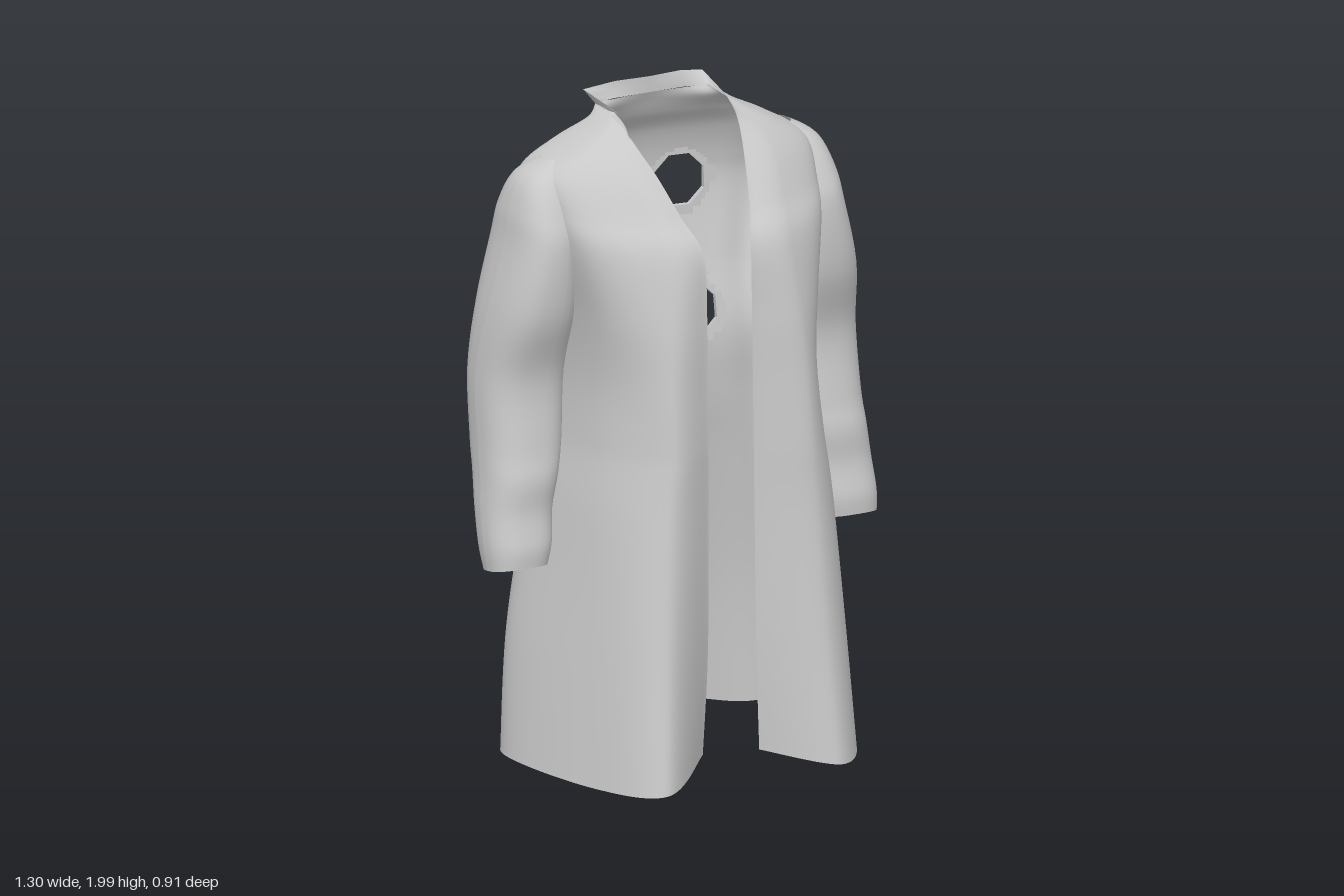
import * as THREE from 'three';

const cloth = new THREE.MeshStandardMaterial({ color: 0xc8c8c8, side: THREE.DoubleSide });
cloth.name = 'grey cloth';

// Smooth interpolation through rows of numbers, t from 0 to 1
function sample(rows, t) {
  const n = rows.length - 1;
  const f = Math.min(Math.max(t, 0), 1) * n;
  const i = Math.min(Math.floor(f), n - 1), s = f - i;
  const p0 = rows[Math.max(i - 1, 0)], p1 = rows[i], p2 = rows[i + 1], p3 = rows[Math.min(i + 2, n)];
  return p1.map((b, k) => {
    const m1 = (p2[k] - p0[k]) / 2, m2 = (p3[k] - b) / 2, d = p2[k] - b;
    return b + s * (m1 + s * (3 * d - 2 * m1 - m2 + s * (m1 + m2 - 2 * d)));
  });
}

// Grid surface from fn(u, v); cells whose centre fails keep(x, y, z) are left open
function surface(name, fn, nu, nv, keep = () => true) {
  const pos = [], index = [];
  for (let j = 0; j <= nv; j++)
    for (let i = 0; i <= nu; i++) pos.push(...fn(i / nu, j / nv));
  for (let j = 0; j < nv; j++)
    for (let i = 0; i < nu; i++) {
      const a = j * (nu + 1) + i, b = a + 1, c = a + nu + 1, d = c + 1;
      const mid = [0, 1, 2].map(k => (pos[a * 3 + k] + pos[d * 3 + k]) / 2);
      if (keep(...mid)) index.push(a, b, d, a, d, c);
    }
  const g = new THREE.BufferGeometry();
  g.setAttribute('position', new THREE.Float32BufferAttribute(pos, 3));
  g.setIndex(index);
  g.computeVertexNormals();
  const mesh = new THREE.Mesh(g, cloth);
  mesh.name = name;
  return mesh;
}

// Half sections: y, front edge x z, front bulge x z, side x z, back corner x z, back centre z
const bodyRows = [
  [0.017, 0.07, 0.29, 0.27, 0.43, 0.44, 0.20, 0.535, -0.22, -0.455],
  [0.4, 0.06, 0.29, 0.26, 0.38, 0.415, 0.18, 0.505, -0.22, -0.405],
  [0.8, 0.06, 0.28, 0.25, 0.335, 0.39, 0.14, 0.435, -0.21, -0.33],
  [1.0, 0.06, 0.275, 0.24, 0.32, 0.365, 0.12, 0.39, -0.21, -0.285],
  [1.2, 0.06, 0.27, 0.235, 0.30, 0.35, 0.10, 0.365, -0.20, -0.275],
  [1.4, 0.06, 0.265, 0.22, 0.28, 0.36, 0.11, 0.38, -0.25, -0.32],
  [1.6, 0.065, 0.25, 0.21, 0.235, 0.40, 0.07, 0.43, -0.29, -0.36],
  [1.7, 0.10, 0.18, 0.23, 0.16, 0.42, 0.01, 0.44, -0.28, -0.36],
  [1.8, 0.13, 0.10, 0.25, 0.08, 0.42, -0.05, 0.43, -0.24, -0.335],
  [1.87, 0.155, 0.03, 0.24, 0.01, 0.33, -0.07, 0.33, -0.22, -0.29],
  [1.92, 0.17, -0.03, 0.19, -0.05, 0.235, -0.09, 0.235, -0.20, -0.265],
  [1.95, 0.18, -0.10, 0.185, -0.12, 0.19, -0.15, 0.19, -0.23, -0.25],
];
const hemLift = [0.055, 0.015, 0.005, 0.02, -0.008, 0.012];
// extra outward x and forward z of the right side at the hem
const rightSkew = [[0, -0.035], [0.06, 0.03], [0.03, 0.05], [0.02, 0.09]];

function bodyPoint(u, v) {
  const r = sample(bodyRows, v), y = r[0];
  const low = Math.max(0, 1 - y / 0.3), skirt = Math.max(0, 1 - y);
  const half = [0, 1, 2, 3].map(k => [r[1 + 2 * k], y + hemLift[k] * low, r[2 + 2 * k]]);
  // the right front overlaps less and its skirt swings further forward
  const other = half.map(([x, h, z], k) => [
    -x - (k ? 0 : 0.03) - rightSkew[k][0] * skirt, h, z + rightSkew[k][1] * skirt]).reverse();
  // the back narrows towards its centre, more sharply at the hem
  const fall = 0.4 + 0.2 * Math.min(1, y / 1.4);
  const bx = r[7] * 0.66, by = y + hemLift[4] * low, bz = r[8] + (r[9] - r[8]) * fall;
  const centre = [0.07 * skirt, y + hemLift[5] * low, r[9]];
  return sample([...half, [bx, by, bz], centre, [-bx, by, bz], ...other], u);
}

// Sleeve sections: y, inner x, outer x, back z, front z
const sleeveRows = [
  [0.63, 0.46, 0.645, -0.14, 0.02],
  [0.7, 0.44, 0.65, -0.175, 0.02],
  [0.8, 0.425, 0.645, -0.21, 0.0],
  [0.9, 0.40, 0.635, -0.25, 0.0],
  [1.0, 0.375, 0.63, -0.28, -0.02],
  [1.2, 0.355, 0.625, -0.305, -0.04],
  [1.4, 0.345, 0.60, -0.31, 0.02],
  [1.6, 0.35, 0.55, -0.30, 0.03],
  [1.7, 0.35, 0.53, -0.28, 0.0],
  [1.79, 0.34, 0.49, -0.24, -0.05],
  [1.84, 0.32, 0.41, -0.19, -0.1],
];

function sleevePoint(side) {
  const round = c => Math.sign(c) * Math.abs(c) ** 0.82;
  return (u, v) => {
    const [y, x0, x1, z0, z1] = sample(sleeveRows, v);
    const a = (side > 0 ? u : 1 - u) * Math.PI * 2;
    const x = (x0 + x1) / 2 + round(Math.cos(a)) * (x1 - x0) / 2;
    const cuff = Math.max(0, 1 - (y - 0.63) / 0.1) * 0.015 * Math.sin(a);
    return [side * x, y - cuff, (z0 + z1) / 2 - round(Math.sin(a)) * (z1 - z0) / 2];
  };
}

// Back rings: x, y, z, tilt
const rings = [
  [-0.18, 1.63, -0.359, -0.02], [0.16, 1.63, -0.359, -0.02],
  [-0.18, 1.25, -0.284, -0.16], [0.16, 1.25, -0.284, -0.16],
];

function octagon(Type, r) {
  const s = new Type();
  for (let i = 0; i < 8; i++) {
    const a = (i + 0.5) * Math.PI / 4;
    s[i ? 'lineTo' : 'moveTo'](Math.cos(a) * r, Math.sin(a) * r);
  }
  s.closePath();
  return s;
}

export function createModel() {
  const coat = new THREE.Group();
  coat.name = 'coat';

  // Open-fronted body with back holes and armholes
  coat.add(surface('body', bodyPoint, 220, 110, (x, y, z) => {
    if (z < -0.1 && rings.some(([rx, ry]) => Math.hypot(x - rx, y - ry) < 0.098)) return false;
    return !(Math.abs(x) > 0.35 && Math.hypot((y - 1.6) / 0.13, (z + 0.13) / 0.11) < 1);
  }));

  // Sleeves, open at the cuff and where they join the body
  for (const side of [1, -1])
    coat.add(surface(side > 0 ? 'leftSleeve' : 'rightSleeve', sleevePoint(side), 32, 50,
      (x, y) => !(y > 1.46 && y < 1.75 && Math.abs(x) < 0.38)));

  // Standing collar with pointed corners
  const low = [[0.18, 1.95, -0.1], [0.19, 1.95, -0.23], [0.12, 1.95, -0.248], [0, 1.95, -0.25]];
  const high = [[0.183, 1.955, -0.12], [0.2, 1.98, -0.285], [0.11, 2.0, -0.255], [0, 2.0, -0.247]];
  const mirror = pts => [...pts, ...pts.slice(0, -1).reverse().map(([x, y, z]) => [-x, y, z])];
  const lowAll = mirror(low), highAll = mirror(high);
  coat.add(surface('collar', (u, v) => {
    const i = Math.round(u * 6);
    return lowAll[i].map((a, k) => a + (highAll[i][k] - a) * v);
  }, 6, 2));

  // Octagonal rings around the back holes
  const shape = octagon(THREE.Shape, 0.128);
  shape.holes.push(octagon(THREE.Path, 0.084));
  const ringGeo = new THREE.ExtrudeGeometry(shape, { depth: 0.018, bevelEnabled: false });
  ringGeo.translate(0, 0, -0.009);
  for (const [x, y, z, tilt] of rings) {
    const ring = new THREE.Mesh(ringGeo, cloth);
    ring.name = 'backRing';
    ring.position.set(x, y, z);
    ring.rotation.set(tilt, -Math.sign(x) * 0.12, 0);
    coat.add(ring);
  }
  return coat;
}
